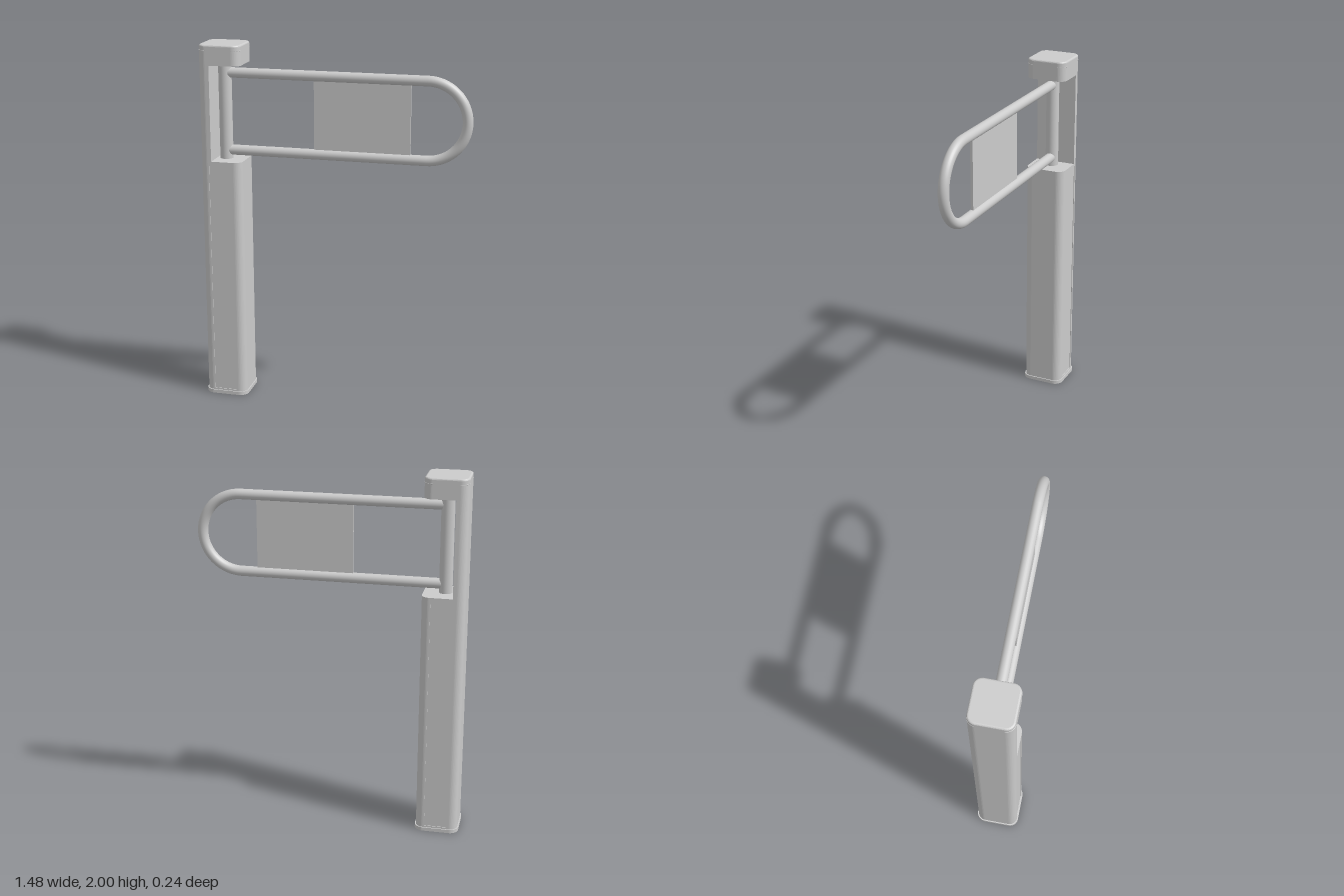
import * as THREE from 'three';

const CX = -0.62; // post axis
const mat = new THREE.MeshStandardMaterial({ color: 0xcccccc });

function add(group, name, geo, x = 0, y = 0, z = 0) {
  const m = new THREE.Mesh(geo, mat);
  m.name = name;
  m.position.set(x, y, z);
  group.add(m);
  return m;
}

// Rounded square outline; an optional notch recesses the middle of both z sides
function outline(Type, h, r, notch = 0) {
  const s = new Type(), n = 0.065;
  s.moveTo(h, -h + r);
  s.lineTo(h, h - r);
  s.absarc(h - r, h - r, r, 0, Math.PI / 2);
  if (notch) { s.lineTo(n, h); s.lineTo(n, h - notch); s.lineTo(-n, h - notch); s.lineTo(-n, h); }
  s.lineTo(-h + r, h);
  s.absarc(-h + r, h - r, r, Math.PI / 2, Math.PI);
  s.lineTo(-h, -h + r);
  s.absarc(-h + r, -h + r, r, Math.PI, Math.PI * 1.5);
  if (notch) { s.lineTo(-n, -h); s.lineTo(-n, -h + notch); s.lineTo(n, -h + notch); s.lineTo(n, -h); }
  s.lineTo(h - r, -h);
  s.absarc(h - r, -h + r, r, Math.PI * 1.5, Math.PI * 2);
  return s;
}

// Vertical extrusion between two heights
function prism(shape, y0, y1, options = {}) {
  const g = new THREE.ExtrudeGeometry(shape, {
    depth: y1 - y0, bevelEnabled: false, curveSegments: 10, ...options,
  });
  return g.rotateX(-Math.PI / 2).translate(0, y0, 0);
}

function hollow(h, r, wall, notch = 0) {
  const s = outline(THREE.Shape, h, r, notch);
  s.holes.push(outline(THREE.Path, h - wall, Math.max(r - wall, 0.01)));
  return s;
}

export function createModel() {
  const model = new THREE.Group();
  model.name = 'barrierGate';
  const H = 0.116, R = 0.045;

  // Hollow post with recessed side panels, open underneath
  const post = new THREE.Group();
  post.name = 'post';
  post.position.x = CX;
  model.add(post);
  add(post, 'basePlate', prism(hollow(0.122, 0.05, 0.018), 0, 0.02));
  add(post, 'postFoot', prism(hollow(H, R, 0.012), 0.02, 0.03));
  add(post, 'postBody', prism(hollow(H, R, 0.012, 0.004), 0.03, 1.35));
  add(post, 'postTop', prism(outline(THREE.Shape, H, R), 1.35, 1.365));

  // Upright behind the hinge opening
  const up = new THREE.Shape();
  up.moveTo(-0.052, -H);
  up.lineTo(-0.052, H);
  up.lineTo(-H + R, H);
  up.absarc(-H + R, H - R, R, Math.PI / 2, Math.PI);
  up.lineTo(-H, -H + R);
  up.absarc(-H + R, -H + R, R, Math.PI, Math.PI * 1.5);
  add(post, 'upright', prism(up, 1.365, 1.92));

  // Cap: skirt around a shallow recess, softened lid
  add(post, 'capSkirt', prism(hollow(H, R, 0.012), 1.89, 1.92));
  add(post, 'capBody', prism(outline(THREE.Shape, H, R), 1.92, 1.988));
  add(post, 'capLid', prism(outline(THREE.Shape, H - 0.01, R - 0.01), 1.988, 1.99, {
    bevelEnabled: true, bevelThickness: 0.01, bevelSize: 0.01, bevelSegments: 4,
  }));

  // Thin seams at the cap corners
  for (const [i, sx, sz] of [[0, 1, -1], [1, -1, -1], [2, -1, 1], [3, 1, 1]]) {
    const seam = new THREE.TorusGeometry(R, 0.002, 6, 10, Math.PI / 2)
      .rotateZ(i * Math.PI / 2).rotateX(-Math.PI / 2);
    add(post, 'capSeam', seam, sx * (H - R), 1.97, sz * (H - R));
  }

  // Swinging arm: hinge pole, looped tube and infill panel
  const arm = new THREE.Group();
  arm.name = 'swingArm';
  model.add(arm);
  add(arm, 'hingePole', new THREE.CylinderGeometry(0.036, 0.036, 0.56, 32), CX, 1.64, 0);

  const yTop = 1.839, yLow = 1.412, xBend = 0.495;
  const rad = (yTop - yLow) / 2, yMid = (yTop + yLow) / 2;
  for (const y of [yTop, yLow]) {
    const rail = new THREE.CylinderGeometry(0.028, 0.028, xBend + 0.6, 24, 1, true).rotateZ(Math.PI / 2);
    add(arm, 'rail', rail, (xBend - 0.6) / 2, y, 0);
  }
  const bend = new THREE.TorusGeometry(rad, 0.028, 24, 40, Math.PI).rotateZ(-Math.PI / 2);
  add(arm, 'endBend', bend, xBend, yMid, 0);
  add(arm, 'infillPanel', new THREE.BoxGeometry(0.527, yTop - yLow - 0.02, 0.014), 0.142, yMid, 0);

  return model;
}
